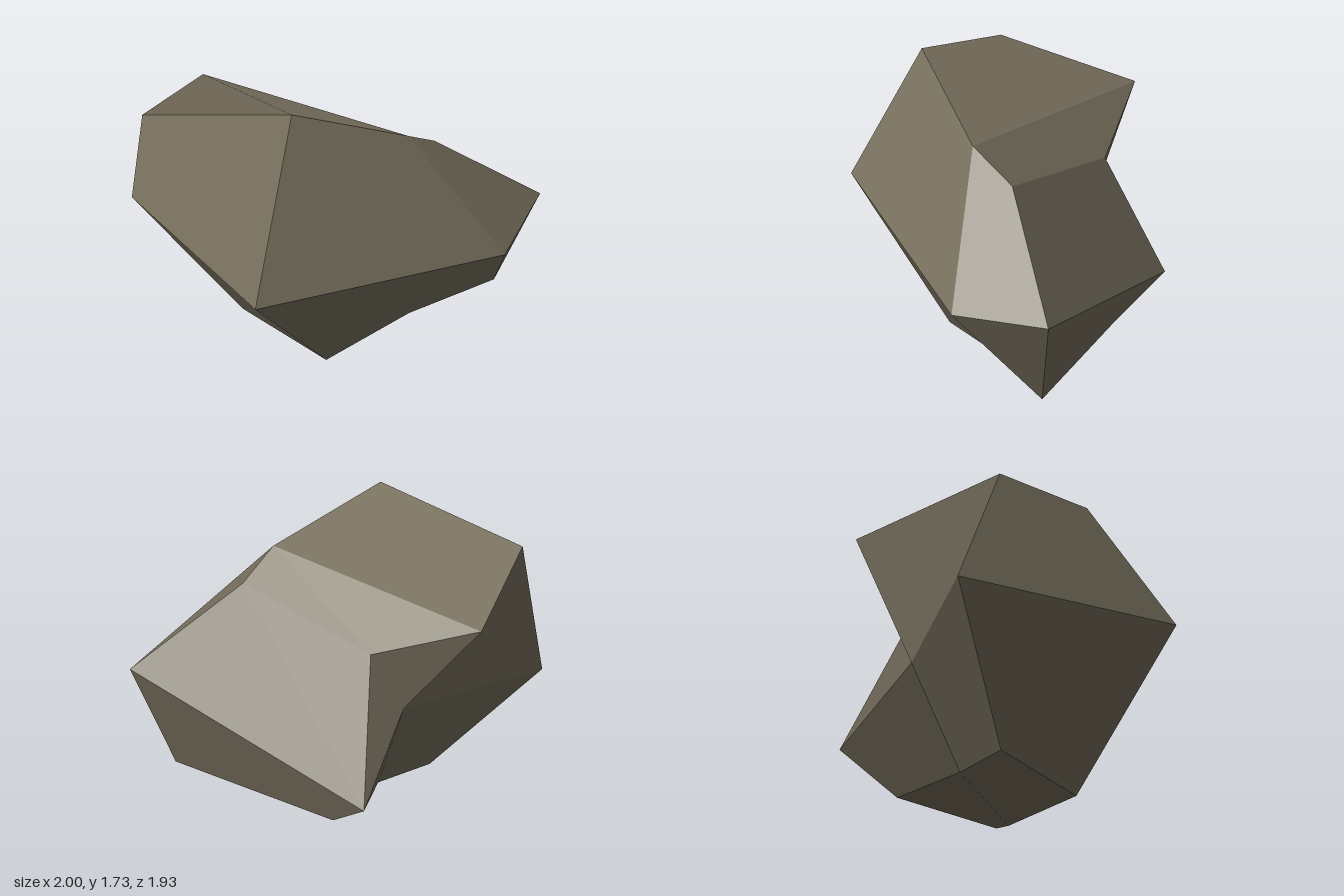
import * as THREE from 'three';

// Corner points of the boulder: a 3 x 3 front grid and a 3 x 3 back grid
const corners = {
  // front, top row to bottom row
  B: [-0.55, 1.725, 0.36], C: [0.12, 1.415, 0.525], D: [0.38, 1.255, 0.465],
  A: [-1, 0.835, 0.6], E: [0.48, 0.7, 0.965], F: [1, 0.78, 0.74],
  O: [-0.34, 0, 0.38], N: [0.32, 0.01, 0.375], M: [0.8, 0.17, 0.61],
  // back, top row to bottom row
  G: [-0.91, 1.475, -0.5], H: [-0.18, 1.275, -0.965], K: [0.14, 1.045, -0.43],
  I: [-0.88, 0.8, -0.74], L: [-0.035, 0.7, -0.51], J: [0.4, 0.28, -0.71],
  P: [-0.49, 0.093, -0.22], R: [-0.09, 0.094, -0.22], Q: [0.35, 0.05, -0.36],
};

// Four-sided facets, counter-clockwise from outside; each folds along the diagonal from its first corner
const facets = [
  'BAEC', 'CEFD', 'AONE', 'ENMF', // front
  'HLIG', 'KJLH', 'LRPI', 'JQRL', // back, with the notch
  'ABGI', 'IPOA',                 // right flank
  'DFJK', 'FMQJ',                 // left flank
  'BCHG', 'CDKH',                 // crown
  'NOPR', 'MNRQ',                 // underside
];

// Split each facet into two triangles that share one averaged normal, so every facet shades evenly
function facetGeometry() {
  const positions = [];
  const normals = [];
  for (const facet of facets) {
    const [a, b, c, d] = [...facet].map((key) => new THREE.Vector3(...corners[key]));
    const normal = c.clone().sub(a).cross(d.clone().sub(b)).normalize();
    for (const p of [a, b, c, a, c, d]) {
      positions.push(p.x, p.y, p.z);
      normals.push(normal.x, normal.y, normal.z);
    }
  }
  const geometry = new THREE.BufferGeometry();
  geometry.setAttribute('position', new THREE.Float32BufferAttribute(positions, 3));
  geometry.setAttribute('normal', new THREE.Float32BufferAttribute(normals, 3));
  return geometry;
}

export function createModel() {
  const stone = new THREE.MeshStandardMaterial({ color: 0x7a7260 });
  stone.name = 'stone';

  const boulder = new THREE.Mesh(facetGeometry(), stone);
  boulder.name = 'boulder';

  const model = new THREE.Group();
  model.name = 'rock';
  model.add(boulder);
  return model;
}
